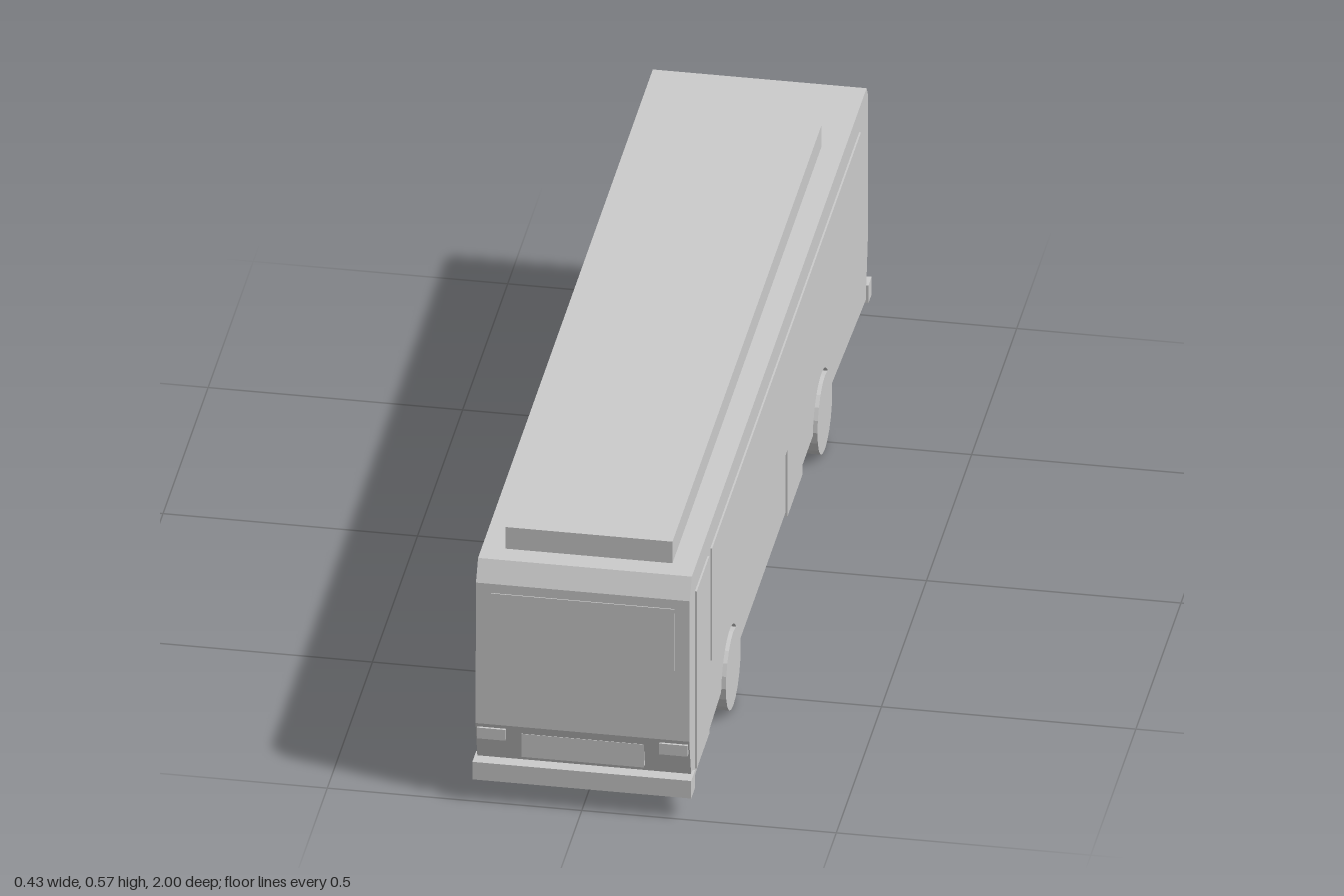
import * as THREE from 'three';

export function createModel() {
  const bus = new THREE.Group();
  bus.name = 'bus';
  const grey = new THREE.MeshStandardMaterial({ color: 0xcccccc });
  grey.name = 'plain grey';

  function add(name, geometry) {
    const mesh = new THREE.Mesh(geometry, grey);
    mesh.name = name;
    bus.add(mesh);
    return mesh;
  }

  // Box given by its limits on each axis
  function box(name, x0, x1, y0, y1, z0, z1) {
    const g = new THREE.BoxGeometry(x1 - x0, y1 - y0, z1 - z0);
    g.translate((x0 + x1) / 2, (y0 + y1) / 2, (z0 + z1) / 2);
    return add(name, g);
  }

  const halfWidth = 0.21;
  const axles = [0.545, -0.47];

  // Body: side profile (z, y) with wheel arches, extruded across the width
  const side = new THREE.Shape();
  side.moveTo(-0.97, 0.055);
  side.lineTo(-0.97, 0.09);
  side.lineTo(-0.987, 0.185);
  side.lineTo(-0.987, 0.5);
  side.lineTo(-0.972, 0.522);
  side.lineTo(0.965, 0.522);
  side.lineTo(0.988, 0.48);
  side.lineTo(0.993, 0.17);
  side.lineTo(0.973, 0.087);
  side.lineTo(0.96, 0.058);
  const archR = 0.095, archY = 0.073, floorY = 0.082;
  const a = Math.asin((floorY - archY) / archR);
  for (const z of axles) {
    side.lineTo(z + archR * Math.cos(a), floorY);
    side.absarc(z, archY, archR, a, Math.PI - a, false);
  }
  const body = new THREE.ExtrudeGeometry(side, { depth: halfWidth * 2, bevelEnabled: false, curveSegments: 14 });
  body.rotateY(-Math.PI / 2);
  body.translate(halfWidth, 0, 0);
  add('body', body);

  // Roof equipment housing
  box('roofPod', -0.164, 0.164, 0.52, 0.57, -0.73, 0.92);

  // Bumpers
  box('frontBumper', -0.215, 0.215, 0.048, 0.087, 0.957, 1);
  box('rearBumper', -0.215, 0.215, 0.048, 0.087, -1, -0.965);

  // Wheels
  for (const z of axles) {
    for (const s of [-1, 1]) {
      const wheel = new THREE.CylinderGeometry(0.082, 0.082, 0.053, 20).toNonIndexed();
      wheel.rotateZ(Math.PI / 2);
      wheel.translate(s * 0.1905, 0.082, z);
      wheel.computeVertexNormals();
      add('wheel', wheel);
    }
  }

  // Side window bands and the two doors on the left side
  box('leftWindows', 0.209, 0.2135, 0.22, 0.47, -0.89, 0.76);
  box('rightWindows', -0.2135, -0.209, 0.22, 0.47, -0.89, 0.76);
  box('frontDoor', 0.209, 0.2135, 0.075, 0.47, 0.79, 0.93);
  box('middleDoor', 0.209, 0.2135, 0.072, 0.47, -0.24, -0.073);

  // Windscreen plate, leaning with the front panel
  const screen = new THREE.BoxGeometry(0.36, 0.265, 0.004);
  screen.rotateX(-0.016);
  screen.translate(0, 0.3275, 0.9905);
  add('windscreen', screen);

  // Front grille and lamps
  box('grille', -0.12, 0.12, 0.102, 0.153, 0.97, 0.99);
  for (const s of [-1, 1]) {
    const x = s * 0.179;
    box('headlamp', x - 0.028, x + 0.028, 0.138, 0.162, 0.97, 0.996);
    box('tailLamp', x - 0.027, x + 0.027, 0.132, 0.164, -0.994, -0.965);
  }

  return bus;
}
